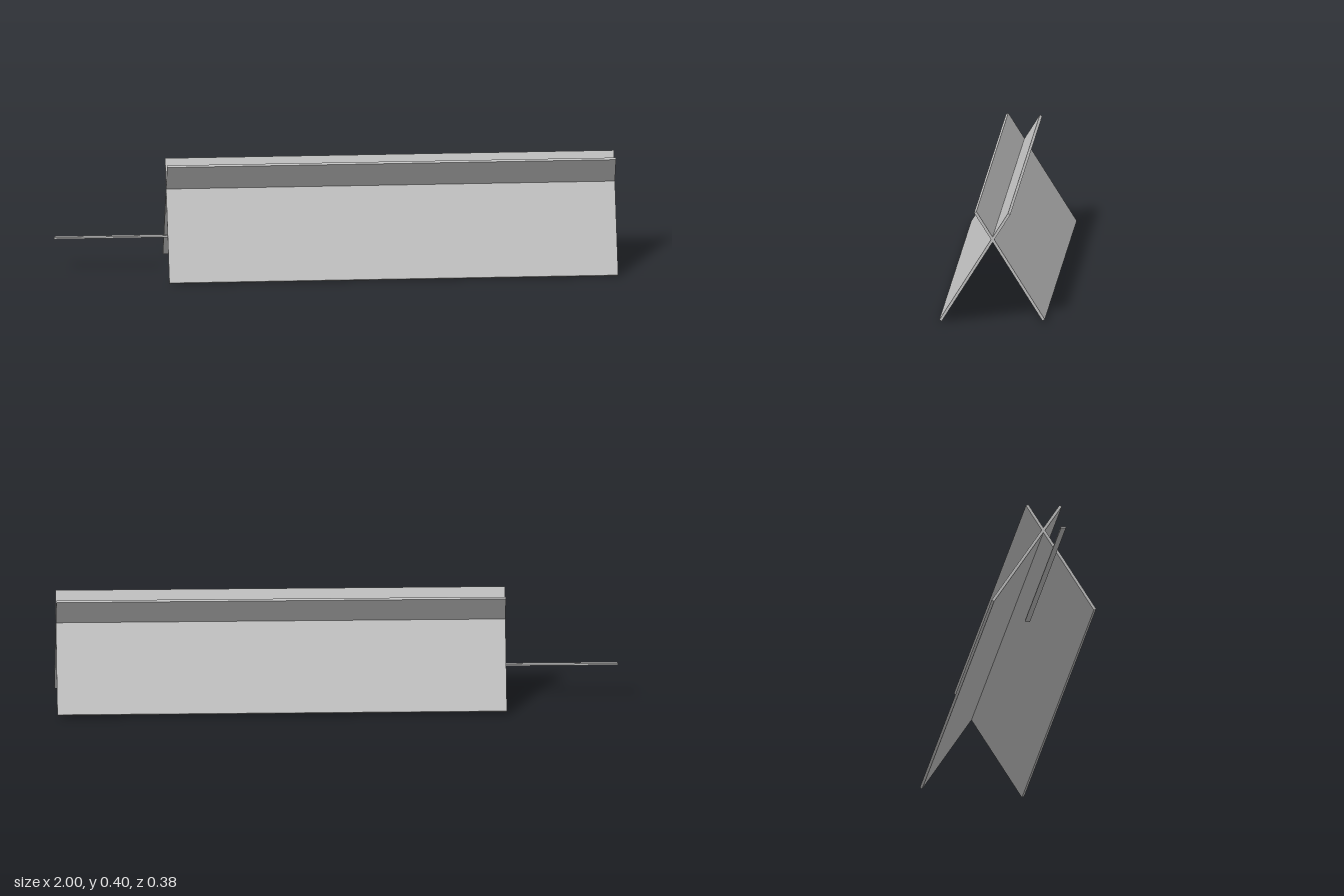
import * as THREE from 'three';

const grey = new THREE.MeshStandardMaterial({ color: 0xc0c0c0 });
grey.name = 'light grey';

// Thin board running along x, spanning a lower and an upper edge given as [z, y]
function board(name, [z0, y0], [z1, y1]) {
  const dz = z1 - z0, dy = y1 - y0;
  const mesh = new THREE.Mesh(new THREE.BoxGeometry(1.6, Math.hypot(dz, dy), 0.01), grey);
  mesh.name = name;
  mesh.position.set(0.2, (y0 + y1) / 2, (z0 + z1) / 2);
  mesh.rotation.x = Math.atan2(dz, dy);
  return mesh;
}

export function createModel() {
  const model = new THREE.Group();
  model.name = 'crossedBoards';

  // Two boards crossing near the top
  model.add(board('frontFootBoard', [0.184, 0.003], [-0.061, 0.395]));
  model.add(board('backFootBoard', [-0.184, 0.01], [0.06, 0.4]));

  // Flat handle bar, reaching under the boards
  const handle = new THREE.Mesh(new THREE.BoxGeometry(0.8, 0.006, 0.018), grey);
  handle.name = 'handle';
  handle.position.set(-0.6, 0.128, 0.005);
  model.add(handle);

  return model;
}
